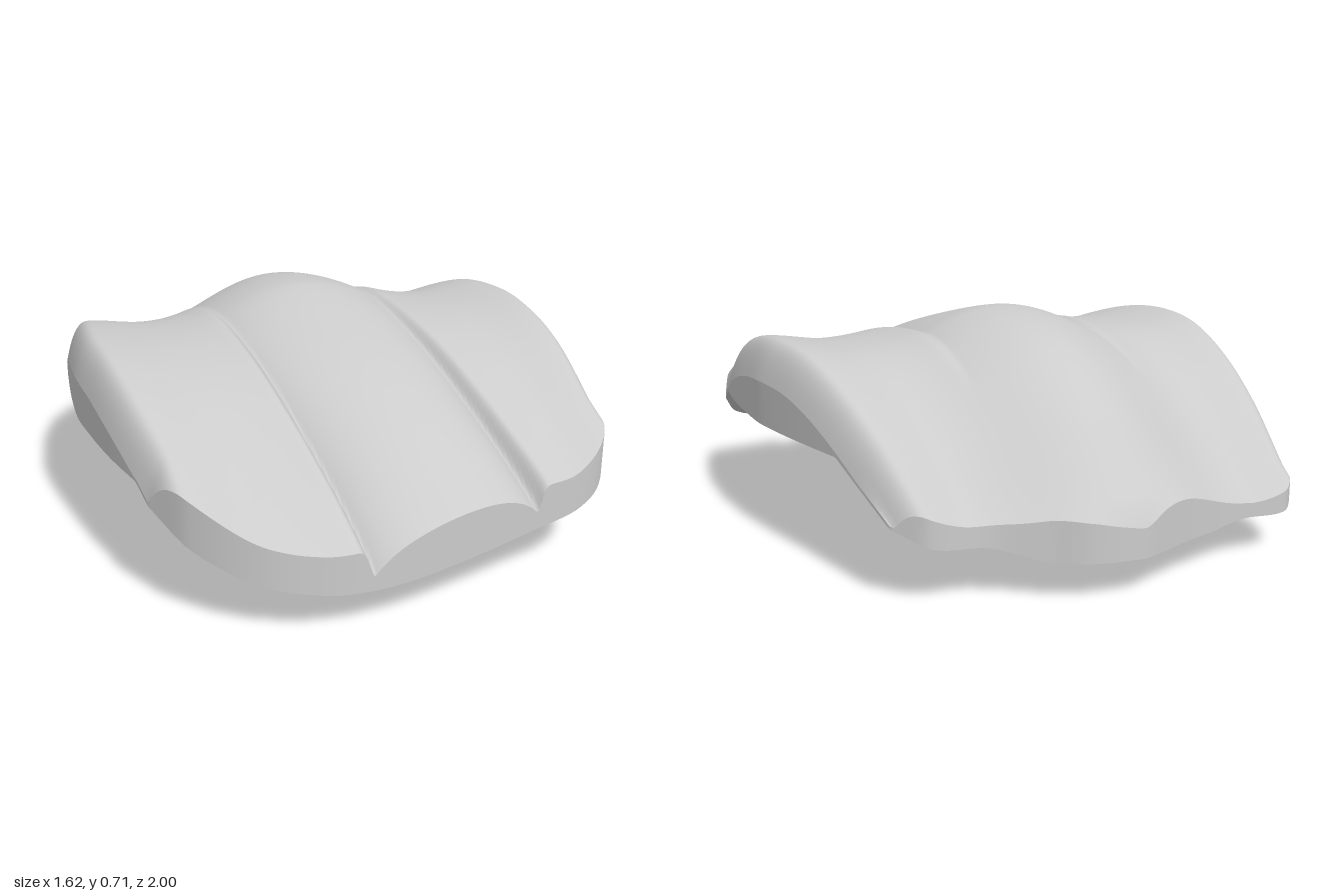
import * as THREE from 'three';

// Smooth function through [x, y] points, clamped at both ends
function curve(pts) {
  const slope = pts.map((p, i) => {
    const a = pts[Math.max(i - 1, 0)], b = pts[Math.min(i + 1, pts.length - 1)];
    return (b[1] - a[1]) / (b[0] - a[0]);
  });
  return (x) => {
    if (x <= pts[0][0]) return pts[0][1];
    for (let i = 0; i < pts.length - 1; i++) {
      const [x0, y0] = pts[i], [x1, y1] = pts[i + 1];
      if (x > x1) continue;
      const h = x1 - x0, t = (x - x0) / h, t2 = t * t, t3 = t2 * t;
      return (2 * t3 - 3 * t2 + 1) * y0 + (t3 - 2 * t2 + t) * h * slope[i]
        + (3 * t2 - 2 * t3) * y1 + (t3 - t2) * h * slope[i + 1];
    }
    return pts[pts.length - 1][1];
  };
}

// Plan outline: half width along z, back and front edges across u = -1..1
const halfWidth = curve([[-0.8, 0.675], [-0.4, 0.755], [0, 0.808], [0.2, 0.803], [0.4, 0.785], [0.65, 0.745]]);
const backEdge = curve([[-1, -0.77], [-0.95, -0.83], [-0.85, -0.885], [-0.6, -0.885], [-0.3, -0.925], [0, -0.993],
  [0.07, -1], [0.28, -0.97], [0.45, -0.9], [0.65, -0.83], [0.9, -0.8], [1, -0.72]]);
const frontEdge = curve([[-1, 0.65], [-0.9, 0.79], [-0.7, 0.92], [-0.47, 0.985], [-0.27, 1], [0, 0.985],
  [0.5, 0.92], [0.74, 0.88], [0.9, 0.8], [1, 0.65]]);

// Lengthwise arches of the raised centre and of the side panels
const centreArch = curve([[-1, 0.2], [-0.97, 0.25], [-0.9, 0.32], [-0.7, 0.5], [-0.5, 0.62], [-0.3, 0.685],
  [-0.1, 0.71], [0, 0.7], [0.2, 0.655], [0.4, 0.6], [0.6, 0.525], [0.8, 0.42], [1, 0.27]]);
const sideArch = curve([[-1, 0.13], [-0.88, 0.17], [-0.8, 0.23], [-0.6, 0.395], [-0.4, 0.515], [-0.2, 0.59],
  [0, 0.61], [0.2, 0.595], [0.4, 0.545], [0.6, 0.46], [0.8, 0.355], [0.93, 0.28], [1, 0.235]]);

// Groove paths and their fading depth
const grooves = [
  { side: -1, path: curve([[-0.5, -0.3], [0, -0.285], [0.5, -0.255], [1, -0.2]]) },
  { side: 1, path: curve([[-0.5, 0.3], [0, 0.27], [0.5, 0.3], [0.92, 0.365]]) },
];
const grooveDepth = curve([[-0.5, 0], [-0.2, 0.015], [0.1, 0.03], [0.5, 0.055], [1, 0.085]]);

// Underside: flat in the middle, sloping down to front and back
const underside = (z) => Math.max(0.11, 0.365 - 0.57 * Math.max(0, z - 0.57, -0.46 - z));

function topHeight(u, x, z) {
  const centreX = z < 0 ? -0.04 * z : 0.07 * z;
  const d = Math.min(Math.abs(x - centreX) / 0.5, 1);
  const bump = Math.cos(d * Math.PI / 2) ** 2;
  let y = THREE.MathUtils.lerp(sideArch(z), centreArch(z), bump);
  for (const { side, path } of grooves) {
    const inside = side * (path(z) - x);
    y -= grooveDepth(z) * (inside > 0 ? Math.exp(-inside / 0.08) : Math.exp(-((inside / 0.022) ** 2)));
  }
  // outer shoulder, then the rolled edge
  const a = Math.abs(u);
  y += 0.025 * THREE.MathUtils.smoothstep(a, 0.65, 0.92);
  y -= 0.13 * Math.max(0, (a - 0.9) / 0.1) ** 2.5;
  return Math.max(y, underside(z) + 0.01);
}

const COLS = 200, ROWS = 80;

function gridPoint(i, j) {
  const u = (i / COLS) * 2 - 1;
  const z = THREE.MathUtils.lerp(backEdge(u), frontEdge(u), j / ROWS);
  const x = u * halfWidth(z);
  return { u, x, z };
}

function makeGeometry(positions, index) {
  const g = new THREE.BufferGeometry();
  g.setAttribute('position', new THREE.Float32BufferAttribute(positions, 3));
  g.setIndex(index);
  g.computeVertexNormals();
  return g;
}

function sheet(height, flip) {
  const pos = [], index = [];
  for (let j = 0; j <= ROWS; j++) {
    for (let i = 0; i <= COLS; i++) {
      const { u, x, z } = gridPoint(i, j);
      pos.push(x, height(u, x, z), z);
      if (i === COLS || j === ROWS) continue;
      const a = j * (COLS + 1) + i, b = a + COLS + 1;
      if (flip) index.push(a, a + 1, b, b, a + 1, b + 1);
      else index.push(a, b, a + 1, b, b + 1, a + 1);
    }
  }
  return makeGeometry(pos, index);
}

// Vertical wall following the outline, joining the underside to the top
function rim() {
  const loop = [];
  for (let i = 0; i < COLS; i++) loop.push([i, ROWS]);
  for (let j = ROWS; j > 0; j--) loop.push([COLS, j]);
  for (let i = COLS; i > 0; i--) loop.push([i, 0]);
  for (let j = 0; j < ROWS; j++) loop.push([0, j]);
  const pos = [], index = [];
  loop.forEach(([i, j], k) => {
    const { u, x, z } = gridPoint(i, j);
    pos.push(x, underside(z), z, x, topHeight(u, x, z), z);
    const a = 2 * k, b = 2 * ((k + 1) % loop.length);
    index.push(a, b, b + 1, a, b + 1, a + 1);
  });
  return makeGeometry(pos, index);
}

// Peg with a rounded tip, turned around its axis
function pegGeometry() {
  const r = 0.11, round = 0.07, length = 0.45;
  const profile = [new THREE.Vector2(0, 0)];
  for (let k = 0; k <= 8; k++) {
    const t = (k / 8) * Math.PI / 2;
    profile.push(new THREE.Vector2(r - round + round * Math.sin(t), round - round * Math.cos(t)));
  }
  profile.push(new THREE.Vector2(r, length));
  return new THREE.LatheGeometry(profile, 32);
}

export function createModel() {
  const group = new THREE.Group();
  const material = new THREE.MeshStandardMaterial({ color: 0xcccccc });
  const flat = new THREE.MeshStandardMaterial({ color: 0xcccccc, flatShading: true });
  const add = (name, geometry, mat = material) => {
    const mesh = new THREE.Mesh(geometry, mat);
    mesh.name = name;
    group.add(mesh);
    return mesh;
  };

  add('archedTop', sheet(topHeight, false));
  add('underside', sheet((u, x, z) => underside(z), true), flat);
  add('rimWall', rim());

  // Slanted mounting pegs
  for (const side of [-1, 1]) {
    const peg = add(side > 0 ? 'leftPeg' : 'rightPeg', pegGeometry());
    peg.position.set(side * 0.32, 0.022, -0.137);
    peg.rotation.x = -0.5;
  }
  return group;
}
